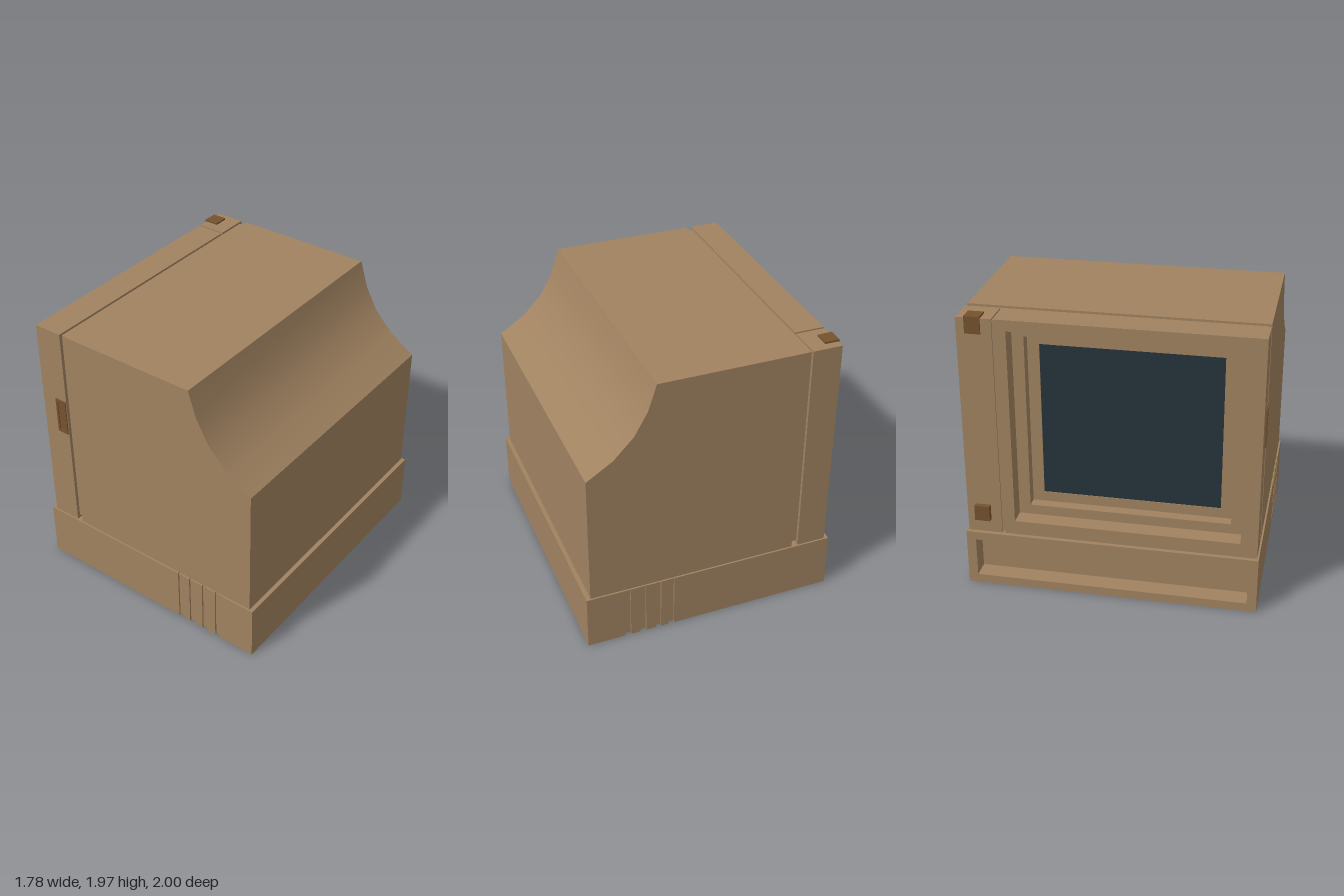
import * as THREE from 'three';
import { toCreasedNormals } from 'three/addons/utils/BufferGeometryUtils.js';

export function createModel() {
  const model = new THREE.Group();
  const shell = new THREE.MeshStandardMaterial({ color: 0xa08260 });
  const trim = new THREE.MeshStandardMaterial({ color: 0x75522e });
  const glass = new THREE.MeshStandardMaterial({ color: 0x26343c });

  function add(name, geometry, material = shell, parent = model) {
    const mesh = new THREE.Mesh(geometry, material);
    mesh.name = name;
    parent.add(mesh);
    return mesh;
  }
  // Box given by its limits on each axis
  function box(name, x0, x1, y0, y1, z0, z1, material, parent) {
    const g = new THREE.BoxGeometry(x1 - x0, y1 - y0, z1 - z0);
    g.translate((x0 + x1) / 2, (y0 + y1) / 2, (z0 + z1) / 2);
    return add(name, g, material, parent);
  }
  const rect = (Type, [u0, u1, v0, v1]) => new Type([[u0, v0], [u1, v0], [u1, v1], [u0, v1]]
    .map(([u, v]) => new THREE.Vector2(u, v)));
  // Rectangular frame with a rectangular opening, extruded by depth
  function frameGeometry(outer, inner, depth) {
    const shape = rect(THREE.Shape, outer);
    shape.holes.push(rect(THREE.Path, inner));
    return new THREE.ExtrudeGeometry(shape, { depth, bevelEnabled: false });
  }
  // Frame facing -x; limits are z0, z1, y0, y1
  function sideFrame(name, outer, inner, x0, x1, parent) {
    const g = frameGeometry(outer, inner, x1 - x0);
    g.rotateY(-Math.PI / 2).translate(x1, 0, 0);
    return add(name, g, shell, parent);
  }

  // Main housing with its scooped shoulder
  const profile = [[-0.61, 0.4], [0.86, 0.4], [0.86, 1.35], [0.68, 1.465], [0.54, 1.61],
    [0.45, 1.77], [0.39, 1.955], [-0.61, 1.955]];
  const housing = new THREE.ExtrudeGeometry(
    new THREE.Shape(profile.map(([x, y]) => new THREE.Vector2(x, y))),
    { depth: 1.976, bevelEnabled: false });
  housing.translate(0, 0, -0.988);
  add('housing', toCreasedNormals(housing, 0.5));
  box('housingSeam', -0.656, -0.6, 0.425, 1.94, -0.965, 0.965);

  // Screen surround: side strip, stepped bezel and screen
  const surround = new THREE.Group();
  surround.name = 'screenSurround';
  model.add(surround);
  const opening = [-0.66, 0.874, 0.5, 1.88];
  const step = [-0.58, 0.795, 0.57, 1.805];
  const screen = [-0.5, 0.715, 0.64, 1.73];
  box('latchStrip', -0.86, -0.655, 0.4, 1.955, -0.988, -0.752, shell, surround);
  box('stripSeam', -0.85, -0.656, 0.41, 1.945, -0.76, -0.72, shell, surround);
  sideFrame('outerBezel', [-0.732, 0.988, 0.4, 1.955], opening, -0.86, -0.74, surround);
  sideFrame('middleBezel', [-0.732, 0.988, 0.4, 1.955], step, -0.74, -0.665, surround);
  sideFrame('innerBezel', [-0.732, 0.988, 0.4, 1.955], screen, -0.665, -0.655, surround);
  box('screen', -0.66, -0.62, screen[2], screen[3], screen[0], screen[1], glass, surround);

  // Base: open front tray, core and full-size blocks separated by vent grooves
  const base = new THREE.Group();
  base.name = 'base';
  model.add(base);
  sideFrame('baseFront', [-1, 1, 0, 0.4], [-0.935, 0.935, 0.06, 0.34], -0.89, -0.76, base);
  box('baseCore', 0.26, 0.64, 0.01, 0.39, -0.988, 0.988, shell, base);
  const blocks = [[-0.76, 0.27], [0.312, 0.365], [0.405, 0.474], [0.516, 0.583], [0.625, 0.89]];
  for (const [x0, x1] of blocks) box('baseBlock', x0, x1, 0, 0.4, -1, 1, shell, base);

  // Latches on the strip
  box('upperLatchTop', -0.868, -0.765, 1.95, 1.967, -0.93, -0.825, trim);
  box('upperLatchFront', -0.868, -0.855, 1.85, 1.955, -0.93, -0.825, trim);
  box('lowerLatch', -0.895, -0.855, 0.5, 0.61, -0.93, -0.825, trim);

  // Switch on the front side of the surround
  const plate = frameGeometry([-0.745, -0.66, 1.158, 1.424], [-0.728, -0.678, 1.177, 1.405], 0.015);
  plate.translate(0, 0, 0.981);
  add('switchFrame', plate, trim);
  box('switchPanel', -0.73, -0.676, 1.175, 1.407, 0.975, 0.99, trim);

  return model;
}
